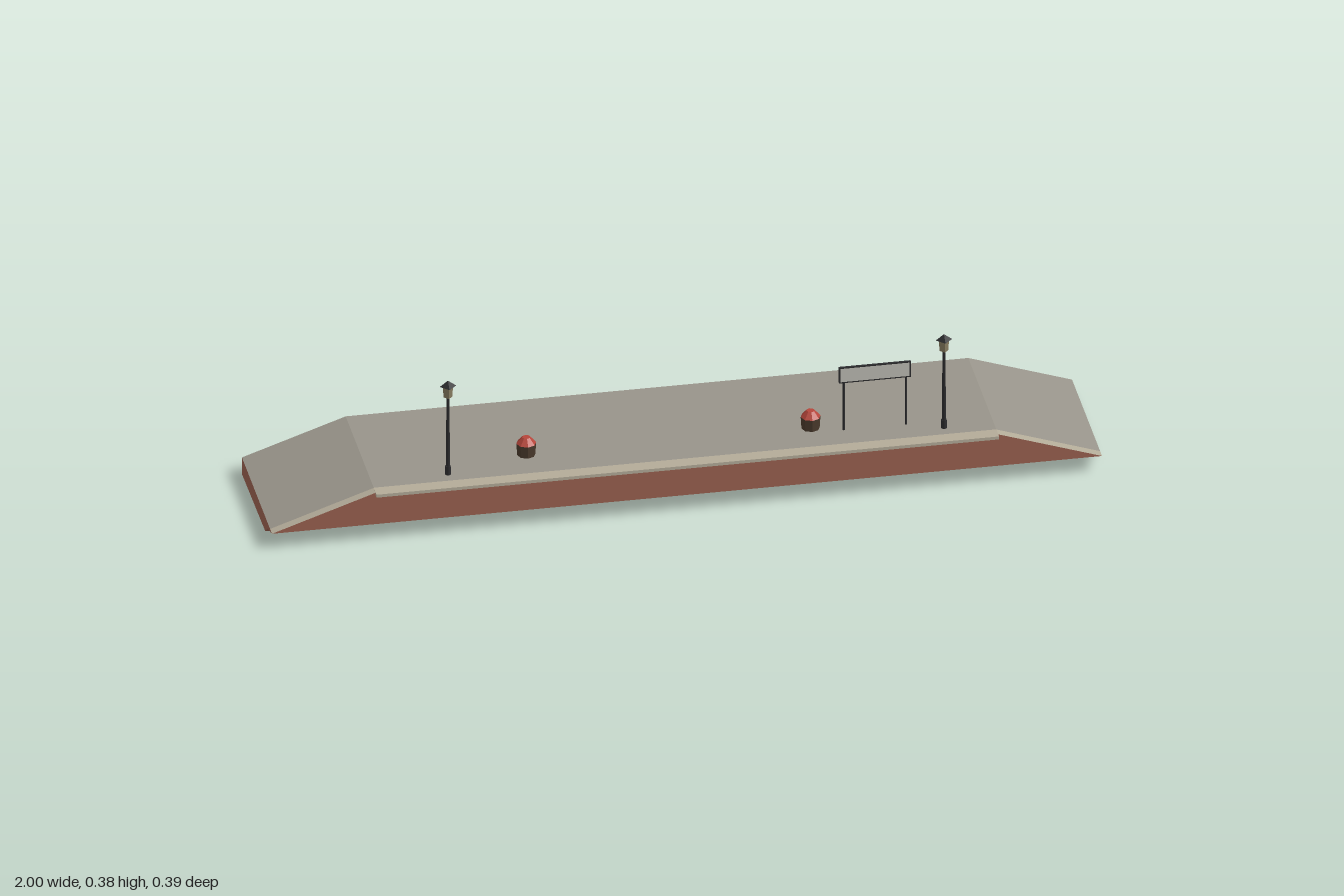
import * as THREE from 'three';

const mat = (color, extra = {}) => new THREE.MeshStandardMaterial({ color, flatShading: true, ...extra });
const both = { side: THREE.DoubleSide };
const brick = mat(0x9a6150, both);
const paving = mat(0x98948a, both);
const edging = mat(0xb3ab98, both);
const iron = mat(0x2b2b2d);
const glass = mat(0x857a5f);
const wood = mat(0x4a3a2c);
const bloom = mat(0xb5453a);
const panel = mat(0xbcbab2);

function add(parent, name, geometry, material, x = 0, y = 0, z = 0) {
  const mesh = new THREE.Mesh(geometry, material);
  mesh.name = name;
  mesh.position.set(x, y, z);
  parent.add(mesh);
  return mesh;
}
const box = (w, h, d) => new THREE.BoxGeometry(w, h, d);
const drum = (rTop, rBottom, h, sides) => new THREE.CylinderGeometry(rTop, rBottom, h, sides);

// Open sheet joining successive rows of points
function sheet(rows) {
  const pos = [];
  for (let i = 0; i < rows.length - 1; i++) {
    for (let j = 0; j < rows[i].length - 1; j++) {
      const a = rows[i][j], b = rows[i + 1][j], c = rows[i + 1][j + 1], d = rows[i][j + 1];
      pos.push(...a, ...b, ...c, ...a, ...c, ...d);
    }
  }
  const g = new THREE.BufferGeometry();
  g.setAttribute('position', new THREE.Float32BufferAttribute(pos, 3));
  g.computeVertexNormals();
  return g;
}

const BACK = -0.193, FRONT = 0.184, STRIP = 0.16, TOP = 0.13, LOW = 0.045;
// Deck height along x: level in the middle, ramped at both ends
const stations = [[-1, LOW], [-0.75, TOP], [0.75, TOP], [1, LOW]];
const deckRow = (z) => stations.map(([x, y]) => [x, y, z]);
const levelRow = (y, z) => stations.map(([x]) => [x, y, z]);

function createPlatform() {
  const g = new THREE.Group();
  g.name = 'platform';
  add(g, 'deck', sheet([deckRow(STRIP), deckRow(BACK)]), paving);
  add(g, 'deckEdge', sheet([deckRow(FRONT), deckRow(STRIP)]), edging);
  // Front wall with the undercut below its lip
  add(g, 'frontWall', sheet([
    levelRow(0.006, 0.1), levelRow(0.03, 0.13), levelRow(LOW, FRONT), deckRow(FRONT),
  ]), brick);
  add(g, 'backWall', sheet([deckRow(BACK), levelRow(0, BACK)]), brick);
  // End walls close the cross-section under the ramps
  const end = new THREE.Shape([[BACK, 0], [0.1, 0.006], [0.13, 0.03], [FRONT, LOW], [BACK, LOW]]
    .map(([z, y]) => new THREE.Vector2(-z, y)));
  for (const side of [-1, 1]) {
    const geo = new THREE.ShapeGeometry(end);
    geo.rotateY(Math.PI / 2);
    add(g, 'endWall', geo, brick, side, 0, 0);
  }
  // Overhanging coping along the level part
  add(g, 'coping', box(1.5, 0.008, 0.035), edging, 0, TOP - 0.0035, 0.1775);
  return g;
}

function createLamp(x) {
  const g = new THREE.Group();
  g.name = 'lamp';
  g.position.set(x, TOP, 0.127);
  add(g, 'lampBase', drum(0.007, 0.008, 0.022, 6), iron, 0, 0.011, 0);
  add(g, 'lampPost', drum(0.004, 0.005, 0.21, 6), iron, 0, 0.105, 0);
  add(g, 'lantern', drum(0.012, 0.011, 0.031, 4), glass, 0, 0.2245, 0);
  add(g, 'lanternRoof', new THREE.ConeGeometry(0.02, 0.015, 4), iron, 0, 0.2455, 0);
  return g;
}

function createPlanter(x) {
  const g = new THREE.Group();
  g.name = 'planter';
  g.position.set(x, TOP, 0.068);
  add(g, 'tub', drum(0.024, 0.022, 0.031, 8), wood, 0, 0.0155, 0);
  add(g, 'flowers', drum(0.01, 0.024, 0.016, 8), bloom, 0, 0.039, 0);
  return g;
}

function createSign() {
  const g = new THREE.Group();
  g.name = 'sign';
  g.position.set(0.47, TOP, 0.093);
  for (const side of [-1, 1]) {
    add(g, 'signPost', drum(0.003, 0.003, 0.165, 6), iron, side * 0.075, 0.0825, 0);
    add(g, 'frameSide', box(0.005, 0.042, 0.006), iron, side * 0.084, 0.149, 0);
    add(g, 'frameRail', box(0.173, 0.004, 0.006), iron, 0, 0.149 + side * 0.019, 0);
  }
  add(g, 'board', box(0.166, 0.036, 0.0062), panel, 0, 0.149, 0);
  return g;
}

export function createModel() {
  const model = new THREE.Group();
  model.name = 'stationPlatform';
  model.add(createPlatform(), createSign());
  for (const x of [-0.565, 0.63]) model.add(createLamp(x));
  for (const x of [-0.365, 0.32]) model.add(createPlanter(x));
  return model;
}
